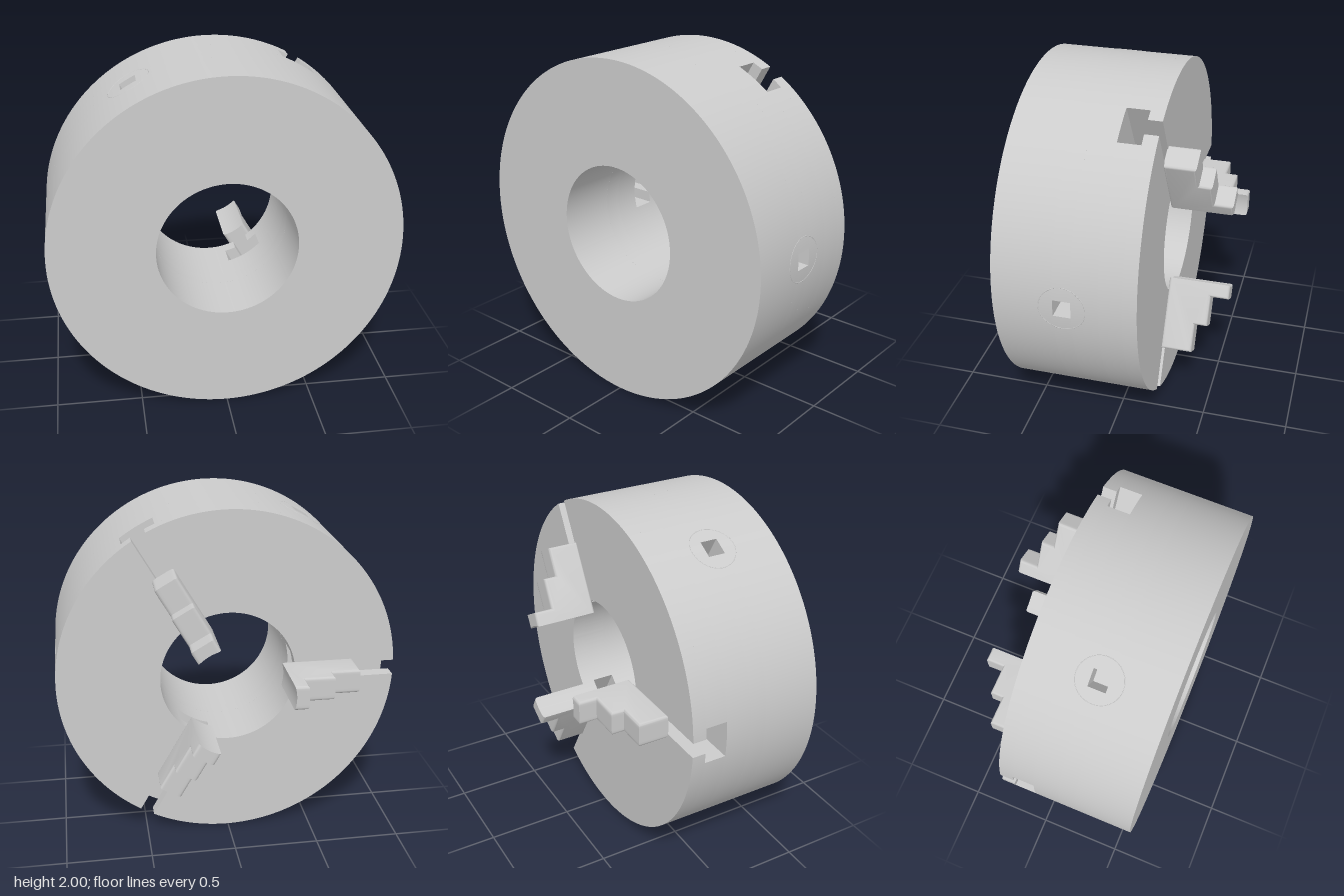
import * as THREE from 'three';
import { toCreasedNormals } from 'three/addons/utils/BufferGeometryUtils.js';

const R = 1, BORE = 0.4, THIRD = (Math.PI * 2) / 3;
const material = new THREE.MeshStandardMaterial({ color: 0xcccccc });

function addMesh(parent, name, geometry) {
  const mesh = new THREE.Mesh(geometry, material);
  mesh.name = name;
  parent.add(mesh);
  return mesh;
}

// Extrudes an outline between two z levels
function layer(shape, z0, z1, curveSegments) {
  const geo = new THREE.ExtrudeGeometry(shape, { depth: z1 - z0, bevelEnabled: false, curveSegments });
  return toCreasedNormals(geo.translate(0, 0, z0), 0.5);
}

// Full ring; a notch width cuts three blind notches into the rim
function ringShape(notchWidth = 0, notchDepth = 0) {
  const s = new THREE.Shape();
  if (notchWidth) {
    const half = Math.asin(notchWidth / 2 / R);
    for (let i = 0; i < 3; i++) {
      const a = i * THIRD, c = Math.cos(a), n = Math.sin(a), r = R - notchDepth;
      for (const w of [-notchWidth / 2, notchWidth / 2]) {
        const x = r * c - w * n, y = r * n + w * c;
        if (i === 0 && w < 0) s.moveTo(x, y);
        else s.lineTo(x, y);
      }
      s.absarc(0, 0, R, a + half, a + THIRD - half, false);
    }
    s.closePath();
  } else {
    s.absarc(0, 0, R, 0, Math.PI * 2, false);
  }
  s.holes.push(new THREE.Path().absarc(0, 0, BORE, 0, Math.PI * 2, true));
  return s;
}

// One third of the ring, leaving parallel-sided slots at its ends
function sectorShape(slotWidth) {
  const a = -Math.PI / 3, b = a + THIRD;
  const out = Math.asin(slotWidth / 2 / R), inn = Math.asin(slotWidth / 2 / BORE);
  const s = new THREE.Shape();
  s.absarc(0, 0, R, a + out, b - out, false);
  s.absarc(0, 0, BORE, b - inn, a + inn, true);
  s.closePath();
  return s;
}

// Stepped jaw: profile is x = radius, y = distance behind the body
function jawGeometry() {
  const bevel = 0.016, width = 0.145;
  const i = 0.32 + bevel;
  const points = [
    [i, bevel - 0.004], [0.745 - bevel, bevel - 0.004], [0.745 - bevel, 0.178 - bevel],
    [0.578 - bevel, 0.178 - bevel], [0.578 - bevel, 0.253 - bevel],
    [0.402 - bevel, 0.253 - bevel], [0.402 - bevel, 0.36 - bevel], [i, 0.36 - bevel],
  ].map(([x, y]) => new THREE.Vector2(x, y));
  const geo = new THREE.ExtrudeGeometry(new THREE.Shape(points), {
    depth: width - 2 * bevel, steps: 8, bevelSize: bevel, bevelThickness: bevel, bevelSegments: 4,
  });
  geo.translate(0, 0, bevel - width / 2);
  // Hollow the gripping face
  const p = geo.attributes.position;
  for (let k = 0; k < p.count; k++) {
    if (p.getX(k) < 0.34) p.setX(k, 0.33 - 2 * p.getZ(k) ** 2);
  }
  geo.rotateX(-Math.PI / 2).scale(1, 1, 1);
  // Profile height now points to -z
  return toCreasedNormals(geo.translate(0, 0, -0.22), 0.7);
}

// Thin outline of the pinion lying on the rim
function pinionRim() {
  const points = [];
  for (let i = 0; i < 48; i++) {
    const t = (i / 48) * Math.PI * 2, y = 0.13 * Math.cos(t);
    points.push(new THREE.Vector3(Math.sqrt(R * R - y * y) - 0.001, y, 0.19 + 0.13 * Math.sin(t)));
  }
  return new THREE.TubeGeometry(new THREE.CatmullRomCurve3(points, true), 96, 0.0025, 6, true);
}

export function createModel() {
  const chuck = new THREE.Group();
  chuck.name = 'latheChuck';
  const assembly = new THREE.Group();
  assembly.name = 'chuckAssembly';
  assembly.position.y = 1;
  chuck.add(assembly);

  // Solid front of the body, with a band holding the square key sockets
  addMesh(assembly, 'bodyFront', layer(ringShape(), 0.24, 0.58, 120));
  addMesh(assembly, 'bodySocketBand', layer(ringShape(0.1, 0.15), 0.14, 0.24, 40));
  addMesh(assembly, 'bodyMiddle', layer(ringShape(), -0.01, 0.14, 120));

  // Three repeats of the slotted rear body, the jaw and the pinion
  const wide = layer(sectorShape(0.22), -0.14, -0.01, 40);
  const narrow = layer(sectorShape(0.09), -0.22, -0.14, 40);
  const jaw = jawGeometry();
  const rim = pinionRim();
  for (let i = 0; i < 3; i++) {
    const a = i * THIRD;
    addMesh(assembly, 'slotWideSector', wide).rotation.z = a;
    addMesh(assembly, 'slotNarrowSector', narrow).rotation.z = a;
    addMesh(assembly, 'pinionRim', rim).rotation.z = a;
    addMesh(assembly, 'jaw', jaw).rotation.z = a + Math.PI / 3;
  }
  return chuck;
}
